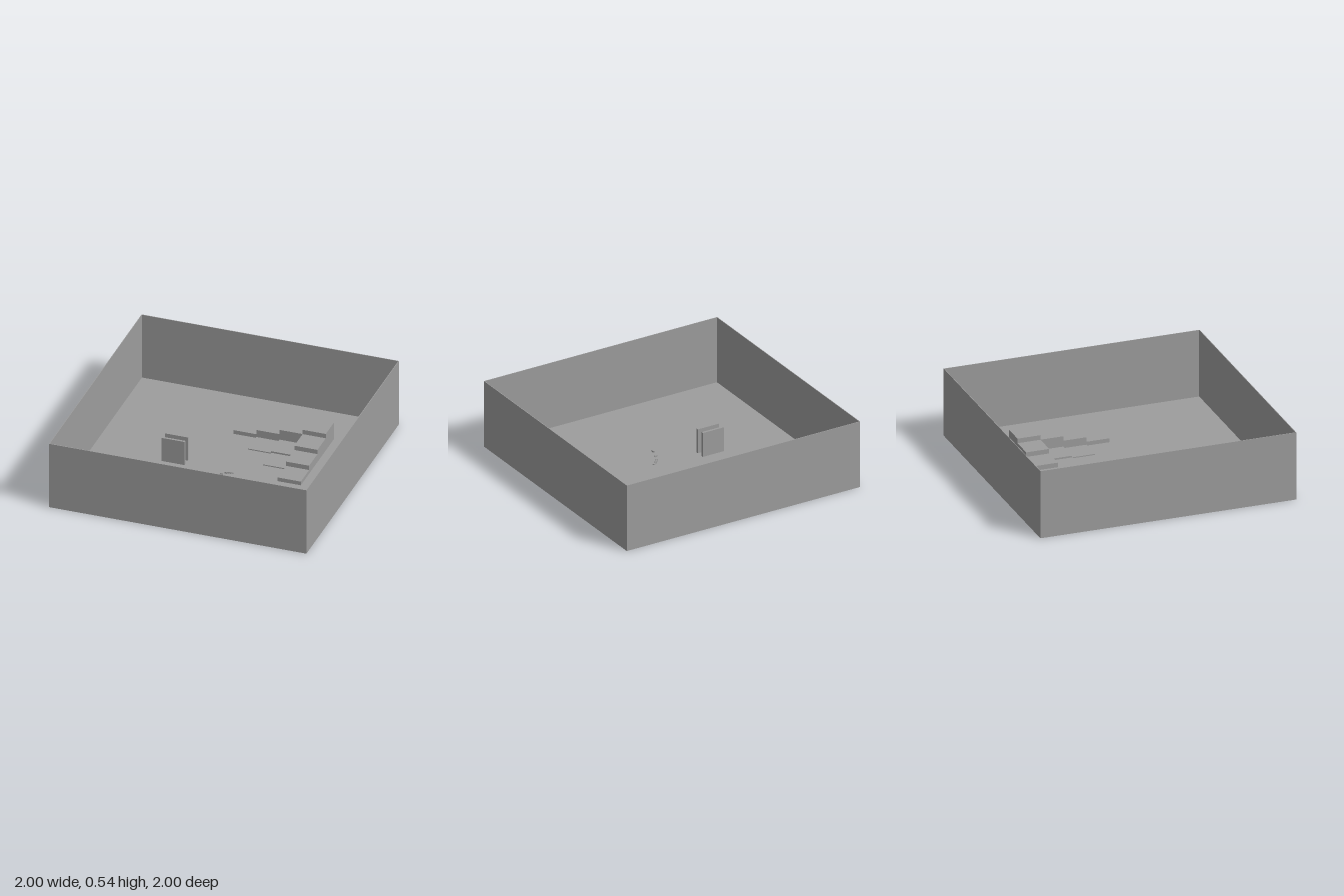
import * as THREE from 'three';

const material = new THREE.MeshStandardMaterial({ color: 0x9d9d9d, flatShading: true, side: THREE.DoubleSide });

// Box given by its minimum and maximum corners
function box(parent, name, min, max) {
  const size = max.map((v, i) => v - min[i]);
  const mesh = new THREE.Mesh(new THREE.BoxGeometry(...size), material);
  mesh.position.set(...min.map((v, i) => (v + max[i]) / 2));
  mesh.name = name;
  parent.add(mesh);
}

export function createModel() {
  const model = new THREE.Group();
  model.name = 'walledRoom';
  const T = 0.005;          // sheet thickness
  const H = 0.535;          // wall height
  const C = 0.1795;         // tile size
  const X0 = -0.09, Z0 = -0.631;

  // Outer walls
  for (const s of [-1, 1]) {
    const a = s < 0 ? -1 : 1 - T, b = a + T;
    box(model, s < 0 ? 'rightWall' : 'leftWall', [a, 0, -1], [b, H, 1]);
    box(model, s < 0 ? 'backWall' : 'frontWall', [-1 + T, 0, a], [1 - T, H, b]);
  }

  // Floor, cut out below the stepped tiles
  const floorShape = new THREE.Shape([[-1, -1], [1, -1], [1, 1], [-1, 1]].map(p => new THREE.Vector2(...p)));
  const outline = [new THREE.Vector2(X0 + 4 * C, -Z0), new THREE.Vector2(X0, -Z0)];
  for (let i = 0; i < 4; i++) {
    outline.push(new THREE.Vector2(X0 + i * C, -(Z0 + (i + 1) * C)));
    outline.push(new THREE.Vector2(X0 + (i + 1) * C, -(Z0 + (i + 1) * C)));
  }
  floorShape.holes.push(new THREE.Path(outline));
  const floorGeometry = new THREE.ExtrudeGeometry(floorShape, { depth: T, bevelEnabled: false });
  floorGeometry.rotateX(-Math.PI / 2);
  const floor = new THREE.Mesh(floorGeometry, material);
  floor.name = 'floor';
  model.add(floor);

  // Stepped tiles: two arms climb to the corner, lower steps fill the inside
  const steps = new THREE.Group();
  steps.name = 'steppedTiles';
  model.add(steps);
  const height = (col, row) => {
    if (row < 0 || col > 3 || col < row) return 0;
    const level = col - row + 1;
    return (row === 0 || col === 3 ? 0.036 : 0.013) * level;
  };
  for (let row = 0; row < 4; row++) {
    for (let col = row; col < 4; col++) {
      const h = height(col, row);
      const x = X0 + col * C, z = Z0 + row * C, e = 0.002;
      box(steps, 'tileTop', [x, h - e, z], [x + C, h, z + C]);
      // Risers down to each lower neighbour
      const risers = [
        [height(col - 1, row), x, z, x + e, z + C],
        [height(col + 1, row), x + C - e, z, x + C, z + C],
        [height(col, row - 1), x, z, x + C, z + e],
        [height(col, row + 1), x, z + C - e, x + C, z + C],
      ];
      for (const [low, xa, za, xb, zb] of risers) {
        if (low < h - 0.001) box(steps, 'riser', [xa, low, za], [xb, h, zb]);
      }
    }
  }

  // Pair of upright slabs
  for (const z of [0.01, 0.08]) box(model, 'uprightSlab', [-0.45, T, z], [-0.271, 0.2, z + 0.018]);

  // Trail of tiny blocks: x, z, width, depth, top
  const trail = [
    [0.098, 0.09, 0.02, 0.012, 0.012],
    [0.082, 0.1, 0.02, 0.01, 0.018],
    [0.07, 0.11, 0.02, 0.01, 0.022],
    [0.058, 0.122, 0.02, 0.01, 0.026],
    [0.038, 0.163, 0.02, 0.01, 0.034],
    [0.018, 0.232, 0.016, 0.026, 0.04],
  ];
  for (const [x, z, w, d, top] of trail) {
    box(model, 'smallBlock', [x - w / 2, top - 0.012, z - d / 2], [x + w / 2, top, z + d / 2]);
  }
  return model;
}
